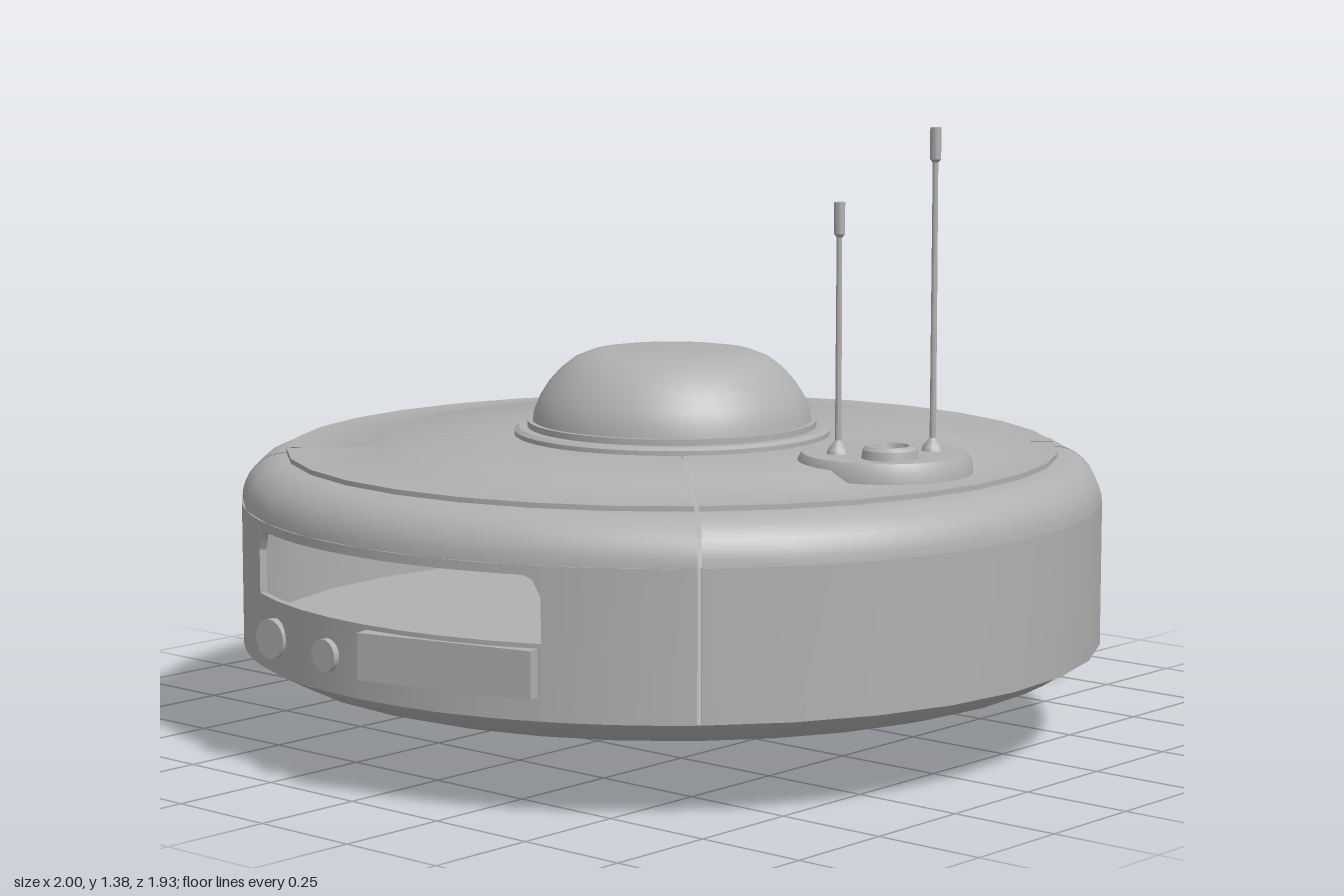
import * as THREE from 'three';
import { toCreasedNormals } from 'three/addons/utils/BufferGeometryUtils.js';

const R = 0.965, SIDES = 32, Q = Math.PI / 2, GAP = 0.005;

export function createModel() {
  const model = new THREE.Group();
  const grey = new THREE.MeshStandardMaterial({ color: 0xb0b0b0, side: THREE.DoubleSide });
  grey.name = 'hull grey';

  function add(name, geometry, x = 0, y = 0, z = 0, parent = model) {
    const mesh = new THREE.Mesh(geometry, grey);
    mesh.name = name;
    mesh.position.set(x, y, z);
    parent.add(mesh);
    return mesh;
  }
  // Turned part; the profile runs from the bottom upwards
  function turned(points, sides = SIDES, start = 0, length = Math.PI * 2) {
    const profile = points.map(([r, y]) => new THREE.Vector2(r, y));
    return toCreasedNormals(new THREE.LatheGeometry(profile, sides, start, length), 0.6);
  }
  // Curved wall slab between two angles; its edges may vary with the angle
  function wall(name, a, b, n, bottom, top) {
    const geo = new THREE.BoxGeometry(1, 1, 1, n, 1, 1);
    const p = geo.attributes.position;
    for (let i = 0; i < p.count; i++) {
      const t = a + (p.getX(i) + 0.5) * (b - a);
      const low = typeof bottom === 'function' ? bottom(t) : bottom;
      const y = low + (p.getY(i) + 0.5) * (top - low);
      const r = R - 0.015 * (0.5 - p.getZ(i));
      p.setXYZ(i, r * Math.sin(t), y, r * Math.cos(t));
    }
    geo.computeVertexNormals();
    add(name, geo);
  }

  // Rounded shoulder and raised deck, in four panels with narrow seams
  const shell = [];
  for (let i = 0; i <= 8; i++) {
    const t = i / 8 * Q;
    shell.push([0.865 + 0.1 * Math.cos(t), 0.53 + 0.1 * Math.sin(t)]);
  }
  shell.push([0.865, 0.641], [0.68, 0.641], [0.64, 0.665], [0.34, 0.668]);
  for (let i = 0; i < 4; i++) {
    add('deckPanel', turned(shell, 8, (i - 0.5) * Q + GAP, Q - 2 * GAP));
  }
  add('deckLiner', turned([[0.94, 0.53], [0.92, 0.585], [0.86, 0.615], [0.67, 0.622], [0.63, 0.645], [0, 0.648]]));

  // Plain front and back walls
  for (const c of [0, Math.PI]) wall('wall', c - Q / 2 + GAP, c + Q / 2 - GAP, 8, 0.21, 0.53);

  // Side walls, each with a window opening rounded at the top corners
  for (const [c, half, sill] of [[Q, 0.28, 0.235], [-Q, 0.42, 0.37]]) {
    const a = Math.asin(half / R), corner = 0.045;
    wall('sideWall', c - Q / 2 + GAP, c - a, 5, 0.21, 0.53);
    wall('sideWall', c + a, c + Q / 2 - GAP, 5, 0.21, 0.53);
    wall('windowSill', c - a, c + a, 8, 0.21, sill);
    wall('windowHeader', c - a, c + a, 48, t => {
      const d = Math.max(0, R * (a - Math.abs(t - c)));
      const k = Math.max(0, corner - d);
      return 0.51 - corner + Math.sqrt(Math.max(0, corner * corner - k * k));
    }, 0.53);
  }

  // Belly with lower ring and round recess
  add('belly', turned([
    [0, 0.14], [0.34, 0.14], [0.34, 0.076], [0.5, 0.076], [0.535, 0.088], [0.555, 0.108], [0.57, 0.135],
    [0.74, 0.135], [0.82, 0.145], [0.88, 0.163], [0.925, 0.187], [0.95, 0.21], [R, 0.21],
  ]));
  const floor = add('cabinFloor', new THREE.CircleGeometry(0.95, SIDES), 0, 0.22, 0);
  floor.rotation.x = -Q;

  // Dome and its stepped collar
  add('domeCollar', turned([[0.355, 0.66], [0.355, 0.678], [0.345, 0.685], [0.325, 0.685], [0.325, 0.699], [0.3, 0.699]], 48));
  add('dome', turned([
    [0.315, 0.69], [0.311, 0.72], [0.298, 0.752], [0.277, 0.785], [0.25, 0.815], [0.22, 0.838],
    [0.185, 0.852], [0.15, 0.857], [0, 0.857],
  ], 48));

  // Antenna pad with a socket and two masts
  const pad = new THREE.Group();
  pad.name = 'antennaPad';
  model.add(pad);
  add('padBase', turned([[0.19, 0.63], [0.19, 0.663], [0.178, 0.683], [0, 0.685]]), 0.007, 0, 0.605, pad);
  add('socket', turned([[0.062, 0.68], [0.058, 0.702], [0.05, 0.71], [0.041, 0.71], [0.038, 0.695], [0, 0.695]], 24), -0.055, 0, 0.668, pad);
  for (const [x, z, top] of [[-0.08, 0.547, 1.222], [0.087, 0.673, 1.378]]) {
    add('antenna', turned([
      [0.026, 0.68], [0.022, 0.693], [0.007, 0.712], [0.006, top - 0.075],
      [0.012, top - 0.068], [0.012, top], [0, top],
    ], 12), x, 0, z, pad);
  }

  // Two side nozzles on short curved arms
  for (const z of [-0.4, 0.4]) {
    const nozzle = add('nozzle', turned([
      [0, -0.155], [0.022, -0.152], [0.035, -0.135], [0.038, -0.115], [0.05, -0.112], [0.05, -0.09],
      [0.056, -0.088], [0.056, -0.065], [0.061, -0.063], [0.061, -0.04], [0.065, -0.038], [0.065, 0],
      [0.055, 0], [0.038, -0.075], [0, -0.075],
    ], 24), 1, 0.14, z);
    nozzle.rotation.z = -Q;
    const path = new THREE.CatmullRomCurve3([
      new THREE.Vector3(0.77, 0.185, z), new THREE.Vector3(0.81, 0.162, z), new THREE.Vector3(0.875, 0.14, z)]);
    add('nozzleArm', new THREE.TubeGeometry(path, 8, 0.026, 12), 0, 0, 0);
  }

  // Right-hand equipment box and two round knobs
  const box = add('sideBox', new THREE.BoxGeometry(0.12, 0.1, 0.412), -0.892, 0.31, 0.206);
  box.rotation.y = 0.245;
  for (const [x, z, r] of [[-0.905, -0.325, 0.043], [-0.95, -0.11, 0.035]]) {
    const knob = add('knob', new THREE.CylinderGeometry(r, r, 0.05, 20), x, 0.29, z);
    knob.rotation.z = Q;
  }

  // Small hanging claw in the belly recess
  const claw = new THREE.Group();
  claw.name = 'claw';
  model.add(claw);
  add('clawPost', turned([[0, 0.035], [0.014, 0.035], [0.014, 0.06], [0.024, 0.075], [0.024, 0.09], [0.012, 0.1], [0.012, 0.13], [0.035, 0.135], [0.035, 0.14]], 16), 0, 0, 0, claw);
  for (let i = 0; i < 4; i++) {
    const arm = new THREE.Group();
    arm.rotation.y = Q / 2 + i * Q;
    claw.add(arm);
    const prong = add('clawProng', new THREE.BoxGeometry(0.014, 0.052, 0.016), 0.022, 0.027, 0, arm);
    prong.rotation.z = 0.45;
  }
  return model;
}
